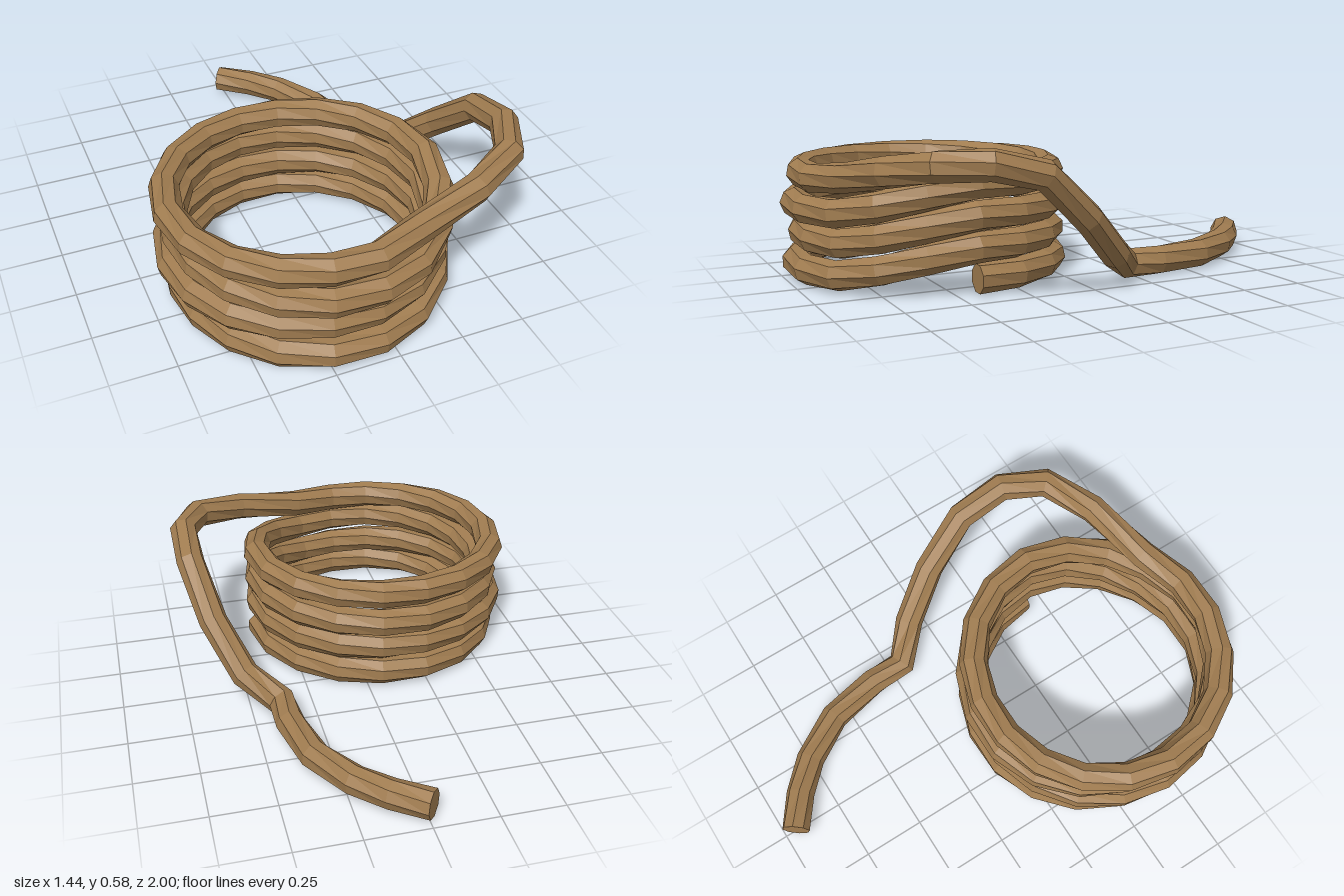
import * as THREE from 'three';

const SIDES = 8, RADIUS = 0.058, TWIST = -1.05;

// Centre line: four stacked turns, then a loose tail falling to the ground
function ropePath() {
  const pts = [];
  const layerY = [0.06, 0.177, 0.295, 0.412];
  // turn radius at each quarter turn, slightly uneven
  const radii = [0.515, 0.5, 0.475, 0.53, 0.515, 0.49, 0.51, 0.5,
    0.515, 0.51, 0.48, 0.53, 0.515, 0.485, 0.51, 0.5];
  for (let n = 0; n <= 3 * 18 + 14; n++) {
    const layer = Math.floor(n / 18), step = n % 18;
    const q = n / 4.5, i = Math.floor(q);
    const r = THREE.MathUtils.lerp(radii[i], radii[Math.min(i + 1, 15)],
      THREE.MathUtils.smoothstep(q - i, 0, 1));
    // each turn lies flat and climbs to the next over its last 60 degrees
    const climb = layer < 3 ? THREE.MathUtils.smoothstep(step, 14.5, 18.3) : 0;
    const y = layerY[layer] + climb * 0.117;
    const a = step * Math.PI / 9;
    pts.push(new THREE.Vector3(-0.15 + r * Math.cos(a), y, 0.42 - r * Math.sin(a)));
  }
  const tail = [
    [0.12, 0.43, 0.845], [0.39, 0.48, 0.77], [0.585, 0.515, 0.66], [0.663, 0.522, 0.49],
    [0.66, 0.475, 0.29], [0.605, 0.3, 0.09], [0.51, 0.135, -0.08], [0.385, 0.062, -0.2],
    [0.378, 0.06, -0.35], [0.33, 0.06, -0.57], [0.22, 0.062, -0.75],
    [0.11, 0.065, -0.86], [-0.016, 0.067, -0.952],
  ];
  tail.forEach(p => pts.push(new THREE.Vector3(...p)));
  return pts;
}

// Sweep a twisting polygon along the points, with flat end caps
function sweep(pts) {
  const pos = [], idx = [], last = pts.length - 1;
  let length = 0;
  pts.forEach((p, i) => {
    const before = pts[Math.max(i - 1, 0)], after = pts[Math.min(i + 1, last)];
    const t = new THREE.Vector3();
    if (i > 0) t.add(p.clone().sub(before).normalize());
    if (i < last) t.add(after.clone().sub(p).normalize());
    if (i === 0) t.set(0, 0, -1);
    t.normalize();
    const out = t.clone().cross(new THREE.Vector3(0, 1, 0)).normalize();
    const up = out.clone().cross(t);
    length += p.distanceTo(before);
    for (let j = 0; j < SIDES; j++) {
      const a = (j + 0.5) / SIDES * Math.PI * 2 + TWIST * length;
      const v = p.clone().addScaledVector(out, RADIUS * Math.cos(a))
        .addScaledVector(up, RADIUS * Math.sin(a));
      pos.push(v.x, v.y, v.z);
    }
  });
  for (let i = 0; i < last; i++) {
    for (let j = 0; j < SIDES; j++) {
      const k = (j + 1) % SIDES;
      const a = i * SIDES + j, b = i * SIDES + k, c = a + SIDES, d = b + SIDES;
      idx.push(a, c, b, b, c, d);
    }
  }
  // end caps
  const e = last * SIDES;
  for (let j = 1; j < SIDES - 1; j++) idx.push(0, j, j + 1, e, e + j + 1, e + j);
  const geo = new THREE.BufferGeometry();
  geo.setAttribute('position', new THREE.Float32BufferAttribute(pos, 3));
  geo.setIndex(idx);
  const flat = geo.toNonIndexed();
  flat.computeVertexNormals();
  return flat;
}

export function createModel() {
  const model = new THREE.Group();
  model.name = 'coiledRope';
  const material = new THREE.MeshStandardMaterial({ color: 0xa07c50, flatShading: true });
  const rope = new THREE.Mesh(sweep(ropePath()), material);
  rope.name = 'rope';
  model.add(rope);
  return model;
}
